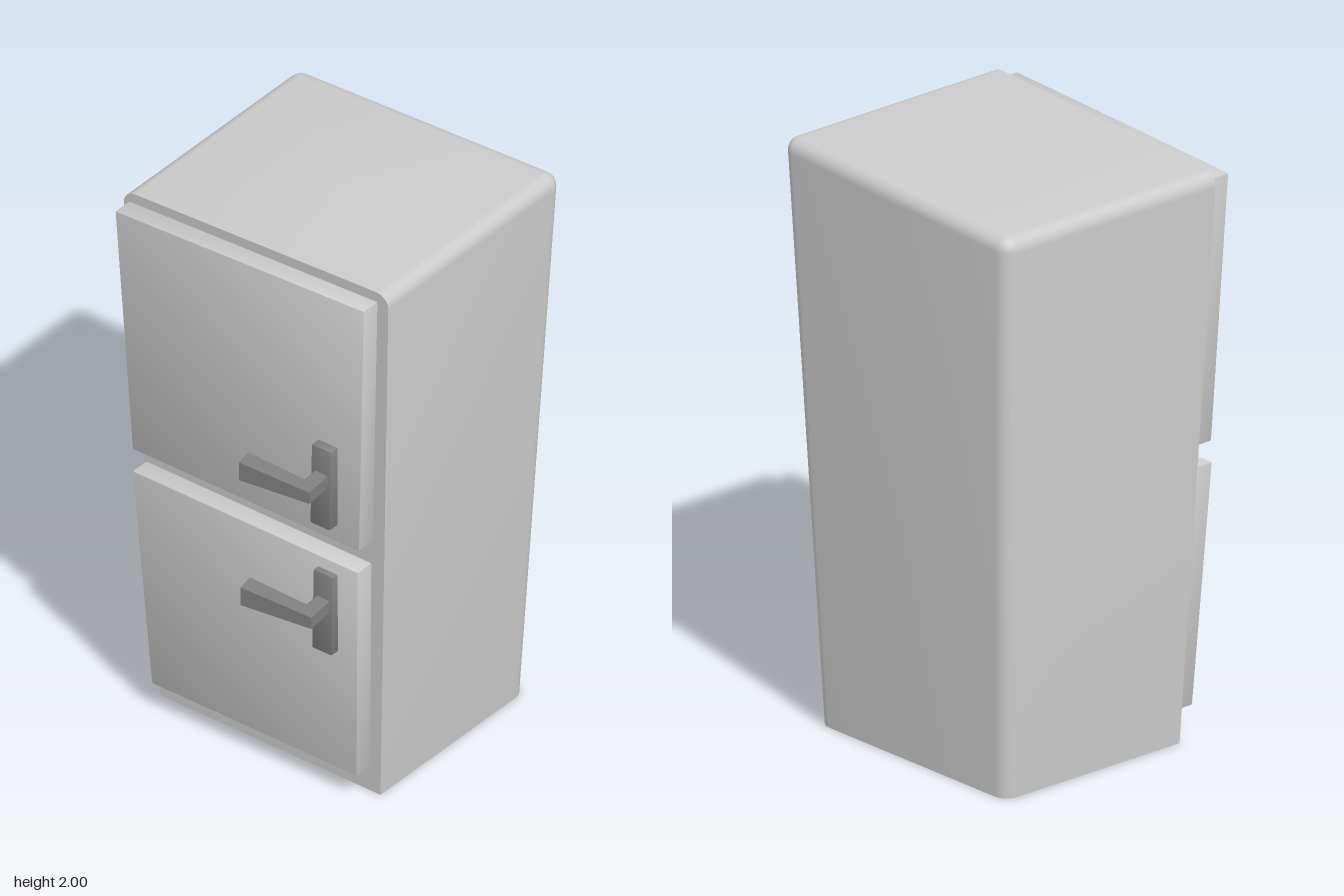
import * as THREE from 'three';
import { toCreasedNormals } from 'three/addons/utils/BufferGeometryUtils.js';
import { RoundedBoxGeometry } from 'three/addons/geometries/RoundedBoxGeometry.js';

const lerp = THREE.MathUtils.lerp;
const grey = new THREE.MeshStandardMaterial({ color: 0xcccccc });
const dark = new THREE.MeshStandardMaterial({ color: 0x808080 });

function part(name, geometry, material = grey) {
  const mesh = new THREE.Mesh(toCreasedNormals(geometry, 0.6), material);
  mesh.name = name;
  return mesh;
}

// Moves every vertex by a rule (x, y, z) => [x, y, z]
function warp(geometry, rule) {
  const p = geometry.attributes.position;
  for (let i = 0; i < p.count; i++) p.setXYZ(i, ...rule(p.getX(i), p.getY(i), p.getZ(i)));
  return geometry;
}

// Cabinet widening upwards: soft back and top edges, sharp front and bottom edges
function cabinetGeometry() {
  const R = 0.05, steps = 6;
  const rings = [[0, 0], [2 - R, 0]]; // height, inset
  for (let i = 1; i <= steps; i++) {
    const a = (i / steps) * Math.PI / 2;
    rings.push([2 - R + R * Math.sin(a), R * (1 - Math.cos(a))]);
  }
  const pos = [], index = [];
  const put = (x, y, z) => pos.push(x, y * (1 - 0.012 * (1 - x / 0.53)), z); // lopsided top
  for (const [y, inset] of rings) {
    const t = y / 2, r = Math.max(R - inset, 0.004);
    const w = lerp(0.445, 0.537, t) - inset;
    const front = lerp(0.26, 0.335, t), back = lerp(-0.48, -0.558, t) + inset;
    put(-w, y, front);
    put(w, y, front);
    for (const side of [0, 1]) {
      for (let i = 0; i <= steps; i++) {
        const a = (side + i / steps) * Math.PI / 2;
        put((side ? -1 : 1) * (w - r) + r * Math.cos(a), y, back + r - r * Math.sin(a));
      }
    }
  }
  const n = 2 + 2 * (steps + 1), top = (rings.length - 1) * n;
  const centre = pos.length / 3;
  put(0, 0, -0.1);
  put(0, 2, -0.1);
  for (let j = 0; j < n; j++) {
    const k = (j + 1) % n;
    for (let b = 0; b < top; b += n) index.push(b + j, b + k, b + n + k, b + j, b + n + k, b + n + j);
    index.push(centre, k, j, centre + 1, top + j, top + k);
  }
  const g = new THREE.BufferGeometry();
  g.setAttribute('position', new THREE.Float32BufferAttribute(pos, 3));
  g.setIndex(index);
  return g;
}

// Door slab tapered between its bottom and top edges; z values are the front face
function door(name, { y0, yLeft, yRight, bottom, top, z0, z1 }) {
  const depth = 0.074, h = yRight - y0;
  const g = new RoundedBoxGeometry(1, h, depth, 1, 0.007);
  warp(g, (x, y, z) => {
    const v = y / h + 0.5;
    return [
      lerp(lerp(bottom[0], bottom[1], x + 0.5), lerp(top[0], top[1], x + 0.5), v),
      y0 + v * (lerp(yLeft, yRight, x + 0.5) - y0),
      z - depth / 2 + lerp(z0, z1, v)
    ];
  });
  return part(name, g);
}

// Back plate with a bent lever that flares towards its free end
function handle(name) {
  const group = new THREE.Group();
  group.name = name;
  const plate = new RoundedBoxGeometry(0.08, 0.31, 0.045, 1, 0.005);
  warp(plate, (x, y, z) => [x + 0.332 + y * 0.035, y + 1.225, z + 0.401 + y * 0.02]);
  group.add(part('handlePlate', plate, dark));

  const outline = [[0.312, 0.4], [0.36, 0.4], [0.372, 0.531], [0.107, 0.556], [0.096, 0.495], [0.317, 0.485]];
  const shape = new THREE.Shape(outline.map(([x, z]) => new THREE.Vector2(x, -z)));
  const lever = new THREE.ExtrudeGeometry(shape, { depth: 1, bevelEnabled: false });
  lever.rotateX(-Math.PI / 2);
  warp(lever, (x, y, z) => {
    const t = (0.372 - x) / 0.27;
    return [x, lerp(lerp(1.238, 1.229, t), lerp(1.281, 1.298, t), y), z];
  });
  group.add(part('handleLever', lever, dark));
  return group;
}

export function createModel() {
  const model = new THREE.Group();
  model.name = 'refrigerator';
  model.add(part('cabinet', cabinetGeometry()));
  model.add(door('upperDoor', {
    y0: 1.005, yLeft: 1.925, yRight: 1.97, bottom: [-0.465, 0.453], top: [-0.508, 0.5], z0: 0.379, z1: 0.414
  }));
  model.add(door('lowerDoor', {
    y0: 0.1, yLeft: 0.93, yRight: 0.93, bottom: [-0.418, 0.412], top: [-0.458, 0.455], z0: 0.34, z1: 0.389
  }));
  const lower = handle('lowerHandle');
  lower.position.set(-0.007, -0.495, -0.018);
  model.add(handle('upperHandle'), lower);
  return model;
}
